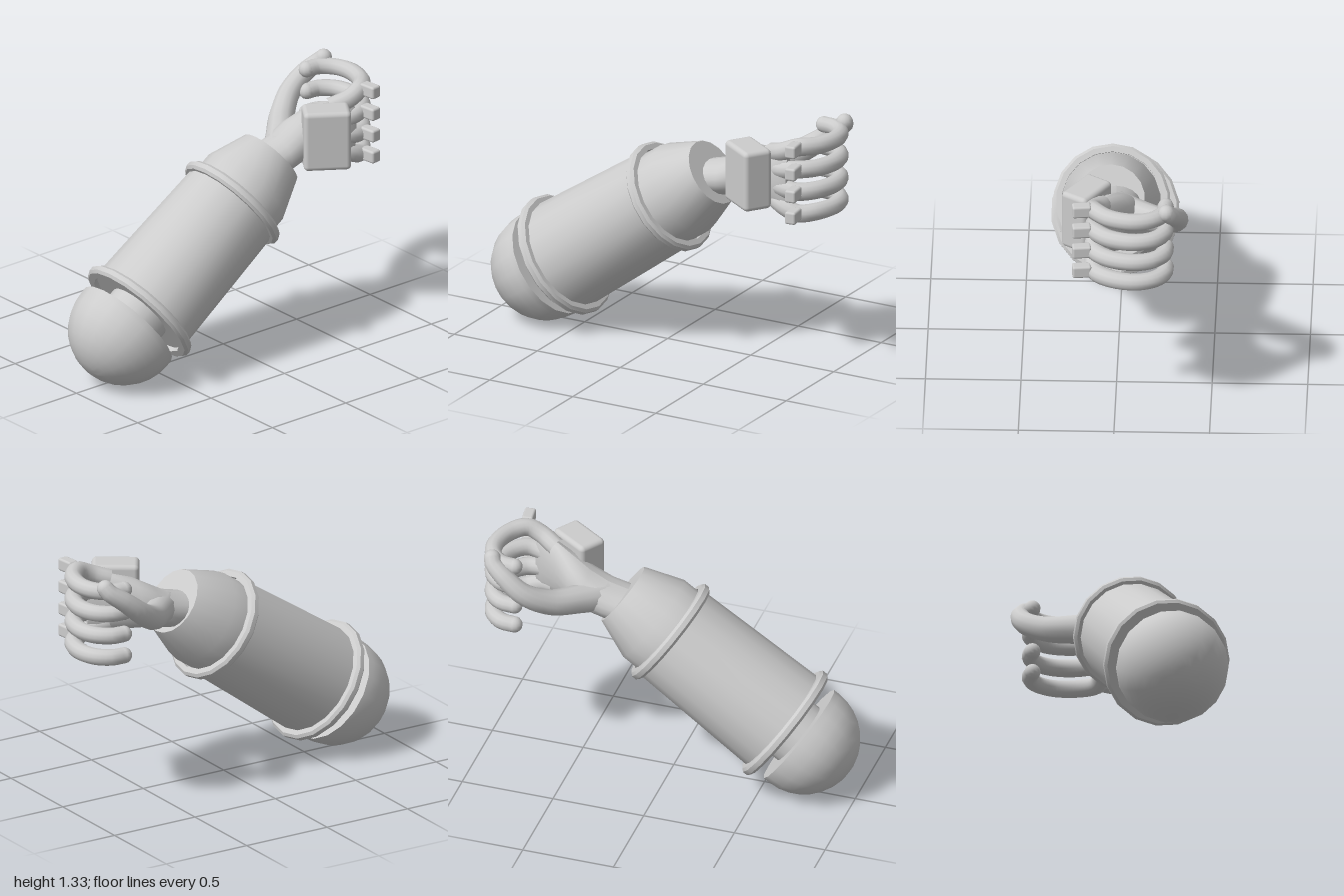
import * as THREE from 'three';
import { toCreasedNormals } from 'three/addons/utils/BufferGeometryUtils.js';
import { RoundedBoxGeometry } from 'three/addons/geometries/RoundedBoxGeometry.js';

const V = (x, y, z) => new THREE.Vector3(x, y, z);

export function createModel() {
  const model = new THREE.Group();
  const grey = new THREE.MeshStandardMaterial({ color: 0xcccccc });
  grey.name = 'plainGrey';

  const add = (parent, name, geometry) => {
    const mesh = new THREE.Mesh(geometry, grey);
    mesh.name = name;
    parent.add(mesh);
    return mesh;
  };
  const lathe = (points, segments = 18) => toCreasedNormals(
    new THREE.LatheGeometry(points.map(([r, y]) => new THREE.Vector2(r, y)), segments), 0.6);

  // Tube with tapering radius and round ends
  const limb = (parent, name, points, r0, r1) => {
    const curve = new THREE.CatmullRomCurve3(points);
    const rows = 28, sides = 12;
    const geo = new THREE.TubeGeometry(curve, rows, 1, sides);
    const p = geo.attributes.position;
    for (let i = 0; i < p.count; i++) {
      const t = Math.floor(i / (sides + 1)) / rows;
      const c = curve.getPointAt(t);
      const v = V().fromBufferAttribute(p, i).sub(c).multiplyScalar(r0 + (r1 - r0) * t).add(c);
      p.setXYZ(i, v.x, v.y, v.z);
    }
    add(parent, name, geo);
    add(parent, name + 'Tip', new THREE.SphereGeometry(r1, 12, 10)).position.copy(points[points.length - 1]);
  };

  // Forearm: local y runs from the elbow to the wrist
  const arm = new THREE.Group();
  arm.name = 'forearm';
  arm.position.set(0.037, 0.38, 0.6);
  arm.rotation.x = -0.96;
  model.add(arm);

  const dome = [];
  for (let i = 0; i <= 8; i++) {
    const a = (i / 8) * Math.PI / 2;
    dome.push([0.295 * Math.sin(a), -0.13 - 0.295 * Math.cos(a)]);
  }
  add(arm, 'elbowCap', lathe([...dome, [0.295, -0.094], [0, -0.094]]));
  add(arm, 'elbowNeck', new THREE.CylinderGeometry(0.175, 0.175, 0.14, 18)).position.y = -0.05;
  add(arm, 'forearmSleeve', lathe([[0, 0], [0.297, 0], [0.275, 0.77], [0, 0.77]]));
  add(arm, 'wristCuff', lathe([[0.257, 0.74], [0.257, 0.883], [0.18, 1.09], [0, 1.09]]));

  // Rounded bands at both ends of the sleeve
  const band = (name, y, inner, outer) => {
    const h = 0.027, b = 0.014;
    add(arm, name, lathe([
      [inner, y - h], [outer - b, y - h], [outer, y - h + b], [outer, y + h - b],
      [outer - b, y + h], [inner, y + h], [inner, y - h],
    ]));
  };
  band('elbowBand', 0, 0.285, 0.338);
  band('cuffBand', 0.77, 0.265, 0.308);

  // Hand: elliptical sections [z, centre x, centre y, half width, half height]
  const hand = new THREE.Group();
  hand.name = 'hand';
  model.add(hand);
  const sections = [
    [-0.21, 0.01, 0.96, 0.13, 0.09],
    [-0.36, 0.005, 0.99, 0.13, 0.1],
    [-0.46, 0, 1.03, 0.125, 0.115],
    [-0.56, 0.02, 1.06, 0.11, 0.14],
    [-0.66, 0.07, 1.065, 0.075, 0.16],
    [-0.75, 0.1, 1.065, 0.05, 0.175],
    [-0.79, 0.11, 1.065, 0.03, 0.15],
  ];
  const palm = new THREE.CylinderGeometry(1, 1, 1, 18, sections.length - 1);
  const pp = palm.attributes.position;
  for (let i = 0; i < pp.count; i++) {
    const row = Math.round((pp.getY(i) + 0.5) * (sections.length - 1));
    const [z, cx, cy, hw, hh] = sections[row];
    pp.setXYZ(i, cx + pp.getX(i) * hw, cy + pp.getZ(i) * hh, z);
  }
  palm.computeVertexNormals();
  add(hand, 'palm', palm);

  // Plate on the back of the hand
  const plate = add(hand, 'handPlate', new RoundedBoxGeometry(0.16, 0.33, 0.25, 3, 0.025));
  plate.position.set(0.155, 1.085, -0.573);
  plate.rotation.y = -0.59;

  // Four curled fingers, each with a knuckle block
  [1.267, 1.143, 1.02, 0.9].forEach((y, i) => {
    const root = 1.07 + (y - 1.07) * 0.65;
    limb(hand, 'finger' + (i + 1), [
      V(0.07, root, -0.67), V(0.11, (root + y) / 2, -0.76), V(0.105, y, -0.84),
      V(0.03, y, -0.915), V(-0.1, y, -0.951), V(-0.2, y, -0.925),
      V(-0.257, y, -0.86), V(-0.265, y, -0.79),
    ], 0.05, 0.043);
    const knuckle = add(hand, 'knuckle' + (i + 1), new RoundedBoxGeometry(0.1, 0.068, 0.06, 2, 0.012));
    knuckle.position.set(0.173, y + 0.01, -0.856);
    knuckle.rotation.y = 0.12;
  });

  // Thumb curving out and up towards the fingertips
  limb(hand, 'thumb', [
    V(0, 1.01, -0.38), V(-0.11, 1.03, -0.48), V(-0.24, 1.065, -0.6),
    V(-0.32, 1.14, -0.72), V(-0.322, 1.22, -0.82), V(-0.29, 1.28, -0.9),
    V(-0.272, 1.3, -0.91),
  ], 0.085, 0.045);

  return model;
}
